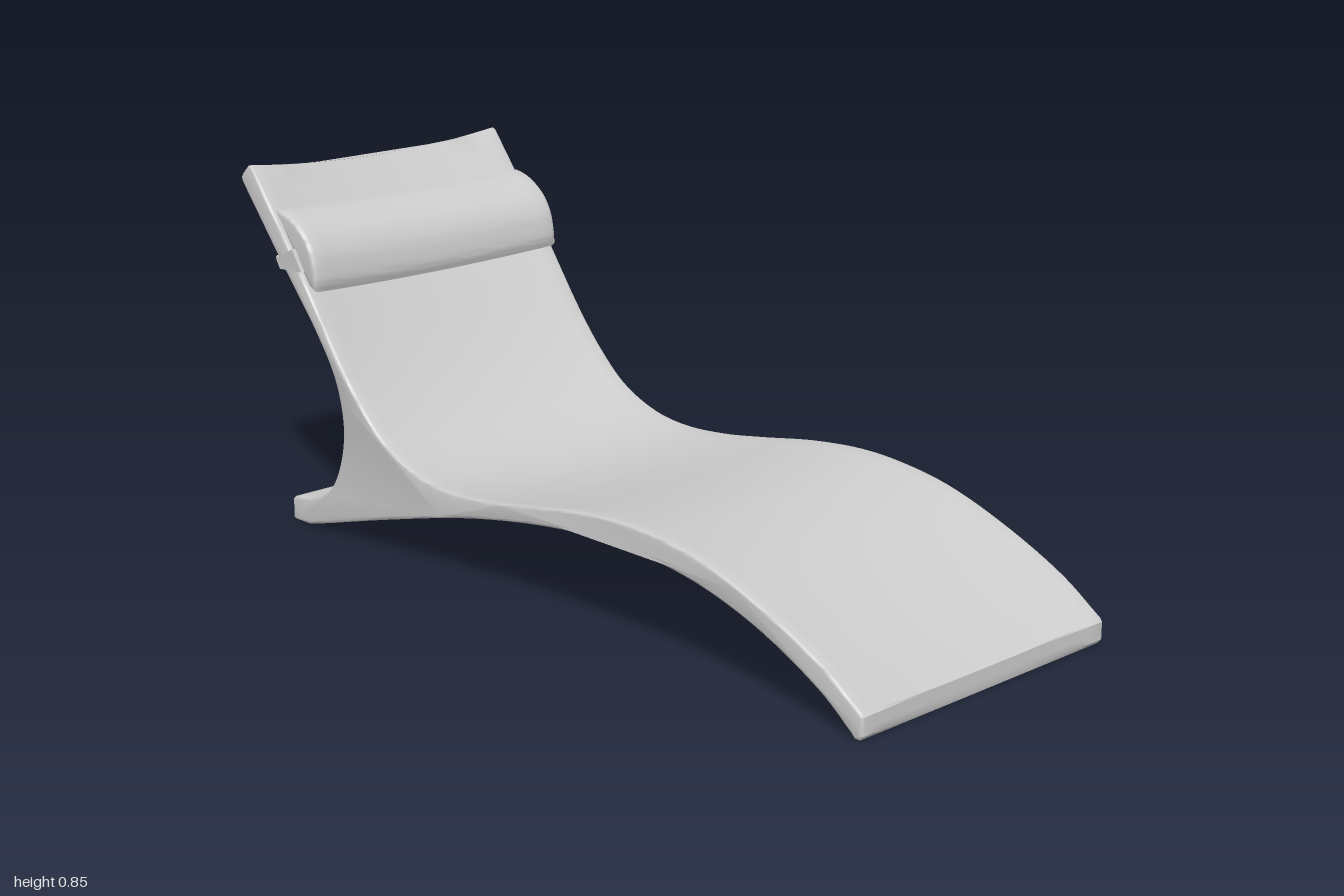
import * as THREE from 'three';
import { toCreasedNormals } from 'three/addons/utils/BufferGeometryUtils.js';

const material = new THREE.MeshStandardMaterial({ color: 0xcccccc });

// Smooth run of [z, y] points; dish = how far the centre line sinks
function run(points, samples, dish) {
  const curve = new THREE.CatmullRomCurve3(points.map(([z, y]) => new THREE.Vector3(z, y, 0)), false, 'centripetal');
  return curve.getPoints(samples).map((p) => ({ z: p.x, y: p.y, dish }));
}

// Lofts a closed side profile across the width, with rounded side edges and a dished surface
function loft(name, profile, halfWidth, bevel, sink, crease = 0.6) {
  const n = profile.length;
  const normals = profile.map((_, j) => {
    const a = profile[(j + n - 1) % n], b = profile[(j + 1) % n];
    return new THREE.Vector2(b.y - a.y, a.z - b.z).normalize();
  });
  const sections = [];
  for (let k = 0; k < 4; k++) {
    const t = (k / 3) * Math.PI / 2;
    sections.push([-halfWidth + bevel * (1 - Math.sin(t)) * (k ? 1 : 0), bevel * (1 - Math.sin(t))]);
    sections[k][0] = -halfWidth + bevel * (1 - Math.cos(t));
  }
  const inner = halfWidth - bevel;
  for (let k = 1; k < 24; k++) sections.push([-inner + (2 * inner * k) / 24, 0]);
  for (let k = 3; k >= 0; k--) sections.push([-sections[k][0], sections[k][1]]);

  const positions = [], index = [];
  for (const [x, inset] of sections) {
    const depth = 1 - (x / halfWidth) ** 2;
    profile.forEach((p, j) => {
      const d = inset + p.dish * depth;
      // the sink direction is either fixed or the local normal
      const s = sink ?? normals[j];
      positions.push(x,
        p.y - normals[j].y * inset - s.y * (d - inset),
        p.z - normals[j].x * inset - s.x * (d - inset));
    });
  }
  for (let i = 0; i < sections.length - 1; i++) {
    for (let j = 0; j < n; j++) {
      const a = i * n + j, b = i * n + (j + 1) % n, c = a + n, d = b + n;
      index.push(a, c, b, b, c, d);
    }
  }
  // side caps
  const last = (sections.length - 1) * n;
  const contour = profile.map((p) => new THREE.Vector2(p.z, p.y));
  for (const [a, b, c] of THREE.ShapeUtils.triangulateShape(contour, [])) {
    index.push(a, b, c, last + c, last + b, last + a);
  }
  const geometry = new THREE.BufferGeometry();
  geometry.setAttribute('position', new THREE.Float32BufferAttribute(positions, 3));
  geometry.setIndex(index);
  const mesh = new THREE.Mesh(toCreasedNormals(geometry, crease), material);
  mesh.name = name;
  return mesh;
}

export function createModel() {
  const group = new THREE.Group();
  group.name = 'loungeChair';

  // Lounger shell: dished seat and backrest, curved rear, straight foot and flat underside
  const lounger = [
    ...run([[0.995, 0.058], [0.893, 0.126], [0.73, 0.2], [0.57, 0.252], [0.437, 0.273], [0.32, 0.278],
      [0.17, 0.265], [0, 0.236], [-0.126, 0.217], [-0.26, 0.21], [-0.367, 0.225], [-0.474, 0.27],
      [-0.555, 0.337], [-0.635, 0.426], [-0.77, 0.608], [-0.955, 0.842]], 80, 0.027),
    ...run([[-0.963, 0.847], [-0.972, 0.845]], 1, 0.025),
    ...run([[-0.996, 0.822], [-1, 0.813], [-0.996, 0.803]], 2, 0),
    ...run([[-0.99, 0.795], [-0.85, 0.63], [-0.715, 0.475], [-0.66, 0.394], [-0.635, 0.324], [-0.629, 0.255],
      [-0.646, 0.18], [-0.683, 0.115], [-0.742, 0.078], [-0.832, 0.058]], 50, 0),
    ...run([[-0.839, 0.052], [-0.839, 0.006]], 1, 0),
    ...run([[-0.833, 0], [-0.775, 0.001]], 2, 0),
    ...run([[-0.755, 0.006], [-0.69, 0.024], [-0.5, 0.078], [-0.206, 0.155], [0, 0.195], [0.17, 0.217],
      [0.32, 0.225], [0.437, 0.217], [0.57, 0.196], [0.73, 0.147], [0.893, 0.067], [0.97, 0.01]], 60, 0),
    ...run([[0.98, 0.001], [0.992, 0.001]], 1, 0),
    ...run([[1, 0.01], [1, 0.05]], 2, 0.006),
  ];
  group.add(loft('lounger', lounger, 0.377, 0.007));

  // Head cushion: half-round pad resting on the backrest, bowed with it
  const backward = new THREE.Vector2(0.78, 0.62);
  const cushion = [
    ...run([[-0.73, 0.578], [-0.724, 0.6], [-0.728, 0.635], [-0.738, 0.668], [-0.765, 0.707],
      [-0.81, 0.738], [-0.85, 0.751], [-0.868, 0.753]], 28, 0.017),
    ...run([[-0.872, 0.744], [-0.75, 0.588]], 2, 0.017),
  ];
  group.add(loft('headCushion', cushion, 0.371, 0.01, backward));

  // Strap: short tab on each side edge joined by a thin band behind the backrest
  const tab = new THREE.Shape([[-0.797, 0.672], [-0.763, 0.622], [-0.848, 0.617], [-0.862, 0.64]]
    .map(([z, y]) => new THREE.Vector2(-z, y)));
  for (const side of [-1, 1]) {
    const mesh = new THREE.Mesh(new THREE.ExtrudeGeometry(tab, { depth: 0.01, bevelEnabled: false }), material);
    mesh.rotation.y = Math.PI / 2;
    mesh.position.x = side * 0.377 - 0.005;
    mesh.name = side > 0 ? 'strapTabLeft' : 'strapTabRight';
    group.add(mesh);
  }
  const band = new THREE.Mesh(new THREE.BoxGeometry(0.76, 0.03, 0.006), material);
  band.name = 'strapBand';
  band.position.set(0, 0.634, -0.853);
  band.rotation.x = -Math.atan2(0.14, 0.165);
  group.add(band);

  return group;
}
